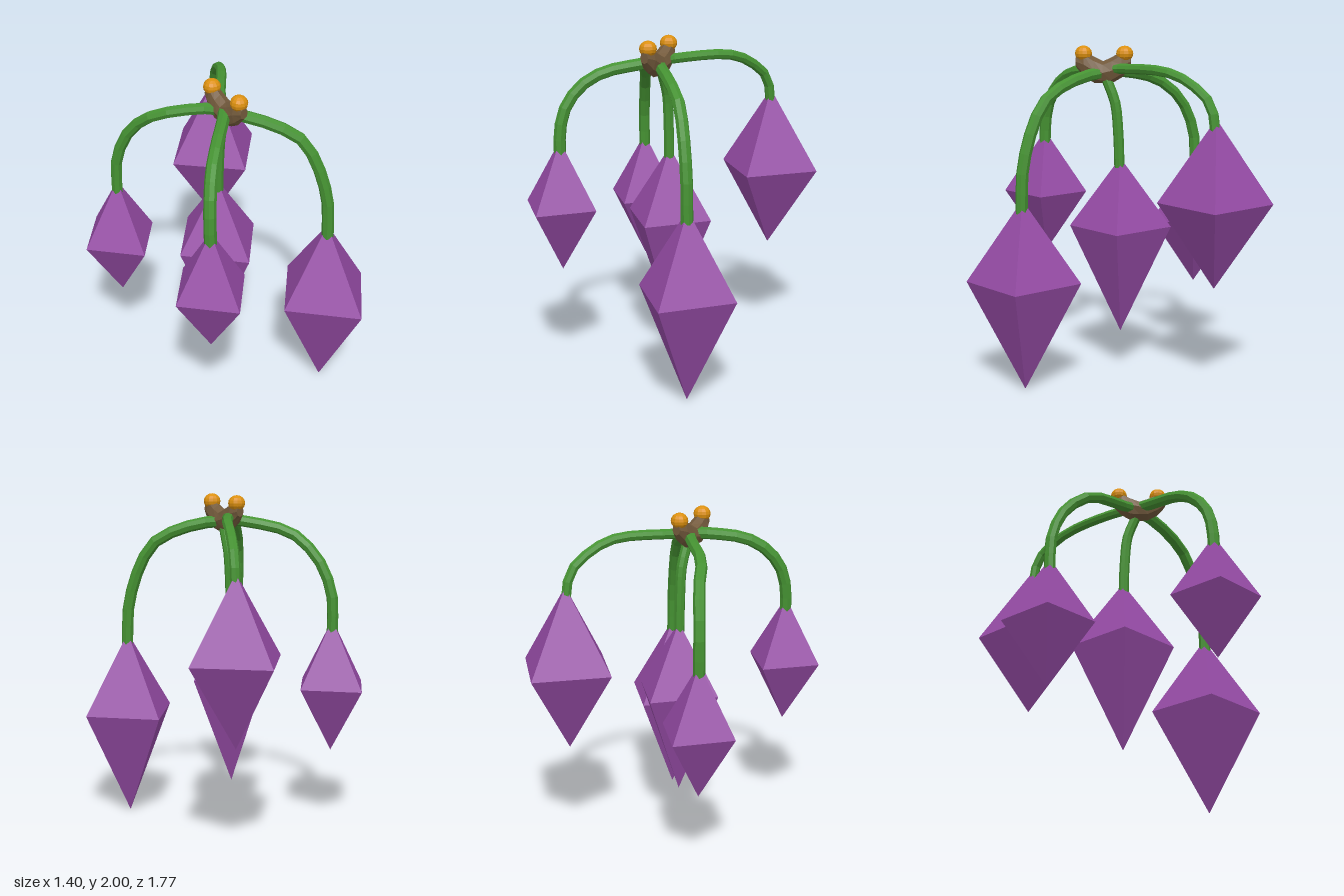
import * as THREE from 'three';

const material = (color) => new THREE.MeshStandardMaterial({ color, flatShading: true });

// Each hanging branch: stem path, stem radius, and pod centre, half widths, top and bottom heights
const BRANCHES = [
  { name: 'frontLeft', r: 0.036,
    path: [[-0.04, 1.84, 0.1], [0.02, 1.83, 0.18], [0.155, 1.78, 0.32], [0.26, 1.7, 0.42], [0.32, 1.56, 0.485], [0.37, 1.32, 0.54], [0.38, 1.06, 0.55]],
    pod: { at: [0.38, 0.65, 0.545], hx: 0.31, hz: 0.337, top: 1.14, bottom: 0 } },
  { name: 'frontRight', r: 0.036,
    path: [[-0.04, 1.86, 0.1], [-0.11, 1.85, 0.18], [-0.28, 1.81, 0.34], [-0.38, 1.73, 0.43], [-0.44, 1.61, 0.495], [-0.46, 1.48, 0.52], [-0.46, 1.34, 0.525]],
    pod: { at: [-0.46, 1.04, 0.525], hx: 0.24, hz: 0.262, top: 1.43, bottom: 0.65 } },
  { name: 'backRight', r: 0.034,
    path: [[-0.04, 1.85, 0.1], [-0.11, 1.84, 0], [-0.3, 1.78, -0.19], [-0.36, 1.69, -0.305], [-0.405, 1.58, -0.375], [-0.438, 1.41, -0.425], [-0.44, 1.18, -0.43]],
    pod: { at: [-0.44, 0.87, -0.43], hx: 0.243, hz: 0.267, top: 1.27, bottom: 0.47 } },
  { name: 'backLeft', r: 0.03,
    path: [[-0.04, 1.86, 0.1], [0.01, 1.865, 0], [0.22, 1.865, -0.27], [0.29, 1.82, -0.39], [0.365, 1.7, -0.525], [0.38, 1.55, -0.555]],
    pod: { at: [0.38, 1.135, -0.56], hx: 0.318, hz: 0.33, top: 1.62, bottom: 0.635 } },
  { name: 'middle', r: 0.031,
    path: [[-0.03, 1.82, 0.1], [-0.025, 1.77, 0.08], [-0.02, 1.66, 0.04], [-0.02, 1.48, 0.022], [-0.02, 1.27, 0.015]],
    pod: { at: [-0.02, 0.91, 0.01], hx: 0.28, hz: 0.307, top: 1.33, bottom: 0.25 } },
];

function addMesh(group, name, geometry, mat) {
  const mesh = new THREE.Mesh(geometry, mat);
  mesh.name = name;
  group.add(mesh);
  return mesh;
}

// Uneven octahedron: upper and lower points have their own heights
function podGeometry({ at, hx, hz, top, bottom }) {
  const geo = new THREE.OctahedronGeometry(1);
  const p = geo.attributes.position;
  for (let i = 0; i < p.count; i++) {
    const y = p.getY(i);
    const h = y > 0 ? top - at[1] : at[1] - bottom;
    p.setXYZ(i, at[0] + p.getX(i) * hx, at[1] + y * h, at[2] + p.getZ(i) * hz);
  }
  geo.computeVertexNormals();
  return geo;
}

// V-shaped hub: sections along z as [z, half width, low y, high y]
function hubGeometry() {
  const sections = [
    [-0.05, 0.026, 1.87, 1.935], [0.0, 0.047, 1.81, 1.965], [0.06, 0.057, 1.775, 1.93],
    [0.112, 0.06, 1.775, 1.905],
    [0.165, 0.057, 1.775, 1.93], [0.225, 0.047, 1.81, 1.965], [0.275, 0.026, 1.87, 1.935],
  ];
  const last = sections.length - 1;
  const geo = new THREE.CylinderGeometry(1, 1, last, 8, last);
  geo.rotateX(Math.PI / 2);
  const p = geo.attributes.position;
  for (let i = 0; i < p.count; i++) {
    const [z, w, lo, hi] = sections[Math.round(p.getZ(i) + last / 2)];
    p.setXYZ(i, -0.04 + p.getX(i) * w, (lo + hi) / 2 + p.getY(i) * (hi - lo) / 2, z);
  }
  geo.computeVertexNormals();
  return geo;
}

export function createModel() {
  const model = new THREE.Group();
  model.name = 'hangingPods';
  const green = material(0x459232);
  const purple = material(0x954ba5);
  const brown = material(0x735a3c);
  const orange = material(0xdc900f);
  green.side = THREE.DoubleSide;

  // Curved stems, each ending in a pod
  for (const { name, r, path, pod } of BRANCHES) {
    const branch = new THREE.Group();
    branch.name = name + 'Branch';
    const curve = new THREE.CatmullRomCurve3(path.map((v) => new THREE.Vector3(...v)));
    addMesh(branch, name + 'Stem', new THREE.TubeGeometry(curve, 10, r, 8), green);
    addMesh(branch, name + 'Pod', podGeometry(pod), purple);
    model.add(branch);
  }

  // Forked hub with a round bud on each tip
  addMesh(model, 'hub', hubGeometry(), brown);
  for (const [name, z] of [['frontBud', 0.23], ['backBud', -0.015]]) {
    const bud = addMesh(model, name, new THREE.SphereGeometry(0.051, 12, 8), orange);
    bud.position.set(-0.04, 1.95, z);
    bud.scale.y = 0.92;
  }
  return model;
}
